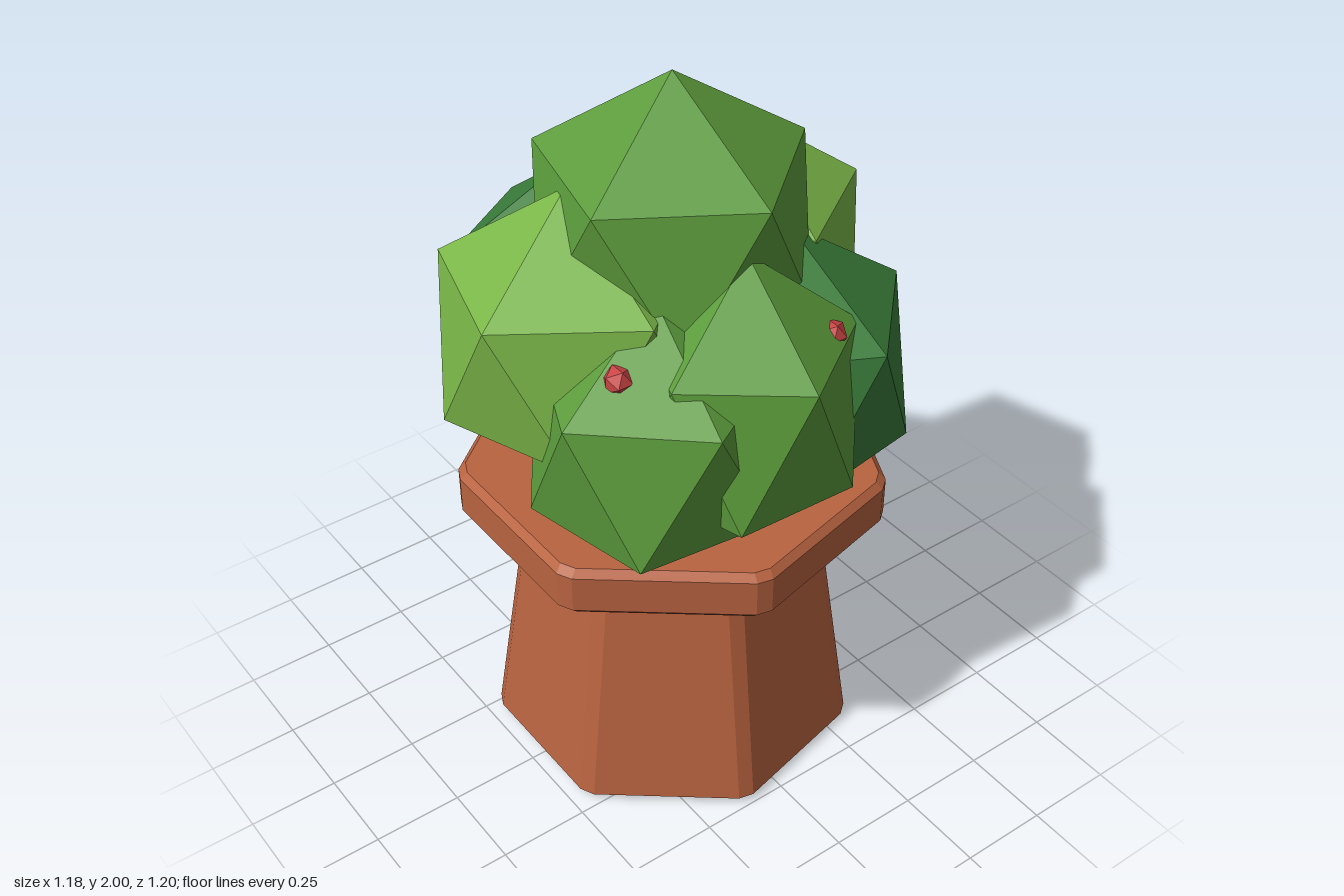
import * as THREE from 'three';
import { ConvexGeometry } from 'three/addons/geometries/ConvexGeometry.js';

const SIDES = 7;

function paint(color) {
  const m = new THREE.MeshStandardMaterial({ color, flatShading: true });
  return m;
}

// Seven-sided ring with its corners cut; one corner points to the back
function ring(radius, y, cut) {
  const corners = [];
  for (let i = 0; i < SIDES; i++) {
    const a = -Math.PI / 2 + (i / SIDES) * Math.PI * 2;
    corners.push(new THREE.Vector3(Math.cos(a) * radius, y, Math.sin(a) * radius));
  }
  const points = [];
  corners.forEach((c, i) => {
    for (const step of [1, SIDES - 1]) {
      const dir = corners[(i + step) % SIDES].clone().sub(c).normalize();
      points.push(c.clone().addScaledVector(dir, cut));
    }
  });
  return points;
}

// Solid bevelled block through a few [radius, height] rings
function bevelledBlock(name, profile, material) {
  const points = profile.flatMap(([r, y]) => ring(r, y, 0.024));
  const mesh = new THREE.Mesh(new ConvexGeometry(points), material);
  mesh.name = name;
  mesh.position.x = -0.008;
  return mesh;
}

export function createModel() {
  const model = new THREE.Group();
  model.name = 'pottedBush';

  // Clay pot
  const clay = paint(0xb86340);
  model.add(bevelledBlock('potBody', [[0.495, 0], [0.518, 0.022], [0.405, 0.77]], clay));
  model.add(bevelledBlock('potRim',
    [[0.565, 0.75], [0.585, 0.77], [0.585, 0.875], [0.565, 0.895]], clay));

  // Twenty-sided clump standing on a corner, with one upper corner towards +x
  const clump = new THREE.IcosahedronGeometry(1, 0);
  clump.rotateZ(Math.PI / 2 - Math.atan2((1 + Math.sqrt(5)) / 2, -1));

  const light = paint(0x7ab648), mid = paint(0x5c9c3c), dark = paint(0x3a7d3a);

  // name, centre x y z, width radius, height radius, turn in degrees, material
  const leaves = [
    ['topLeaves', -0.01, 1.59, 0, 0.395, 0.41, -4, mid],
    ['frontLeaves', -0.07, 1.335, 0.27, 0.38, 0.415, 70, light],
    ['frontLeftLeaves', 0.2, 1.155, 0.21, 0.355, 0.41, 6, mid],
    ['leftLeaves', 0.3, 1.225, 0.01, 0.325, 0.43, 2, mid],
    ['backLeftLeaves', 0.175, 1.17, -0.22, 0.37, 0.42, -81, dark],
    ['backLeaves', -0.11, 1.36, -0.29, 0.36, 0.4, -70, light],
    ['backRightLeaves', -0.26, 1.155, -0.16, 0.36, 0.41, 197, mid],
    ['rightLeaves', -0.28, 1.265, 0.13, 0.345, 0.415, 184, dark],
  ];
  for (const [name, x, y, z, r, h, turn, material] of leaves) {
    const mesh = new THREE.Mesh(clump, material);
    mesh.name = name;
    mesh.position.set(x, y, z);
    mesh.scale.set(r, h, r);
    mesh.rotation.y = -THREE.MathUtils.degToRad(turn);
    model.add(mesh);
  }

  // Red berries half hidden in the leaves
  const red = paint(0xc94444);
  for (const [x, y, z] of [[-0.44, 1.42, -0.15], [0.425, 1.43, -0.155], [0.265, 1.42, 0.36]]) {
    const berry = new THREE.Mesh(new THREE.IcosahedronGeometry(0.04, 0), red);
    berry.name = 'berry';
    berry.position.set(x, y, z);
    model.add(berry);
  }
  return model;
}
